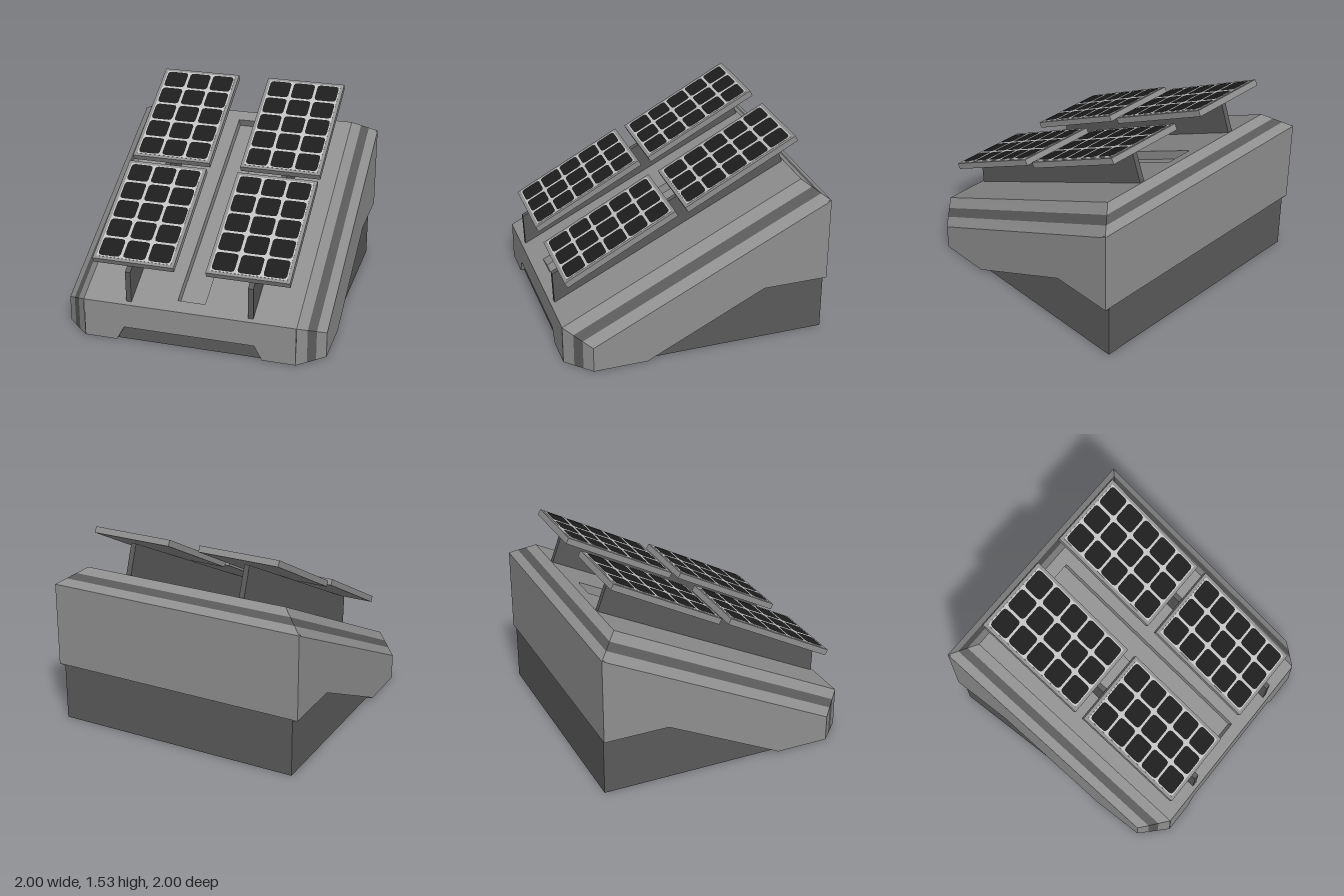
import * as THREE from 'three';

export function createModel() {
  const mat = (name, color) => {
    const m = new THREE.MeshStandardMaterial({ color });
    m.name = name;
    return m;
  };
  const grey = mat('bodyGrey', 0x8f8f8f);
  const dark = mat('darkGrey', 0x5a5a5a);
  const light = mat('gridLight', 0xc0c0c0);
  const black = mat('cellBlack', 0x1d1d1d);

  const model = new THREE.Group();
  model.name = 'solarStation';
  const add = (name, geo, material, parent = model) => {
    const mesh = new THREE.Mesh(geo, material);
    mesh.name = name;
    parent.add(mesh);
    return mesh;
  };
  const shapeOf = (pts) => new THREE.Shape(pts.map(([x, y]) => new THREE.Vector2(x, y)));
  const extrude = (shape, depth) => new THREE.ExtrudeGeometry(shape, { depth, bevelEnabled: false });
  // Extrude a (z, y) profile along x, starting at x0
  const sideExtrude = (pts, x0, width) =>
    extrude(shapeOf(pts.map(([z, y]) => [-z, y])), width).rotateY(Math.PI / 2).translate(x0, 0, 0);
  const box = (w, h, d, x, y, z) => new THREE.BoxGeometry(w, h, d).translate(x, y, z);
  // Strip of quads between two rows of points
  const strip = (a, b) => {
    const pos = [];
    for (let i = 0; i < a.length - 1; i++) {
      for (const p of [a[i], b[i], b[i + 1], a[i], b[i + 1], a[i + 1]]) pos.push(...p);
    }
    const g = new THREE.BufferGeometry();
    g.setAttribute('position', new THREE.Float32BufferAttribute(pos, 3));
    g.computeVertexNormals();
    return g;
  };

  // Base: grey underside, dark recessed walls, and a taller rear block
  const footHalf = [[0.957, -0.99], [0.957, 0.385], [0.995, 0.4], [0.995, 0.815], [0.81, 0.995], [0.56, 0.995], [0.56, 0.972]];
  const foot = shapeOf([...footHalf, ...footHalf.map(([x, z]) => [-x, z]).reverse()].map(([x, z]) => [x, -z]));
  add('baseFootprint', extrude(foot, 0.18).rotateX(-Math.PI / 2), [grey, dark]);
  add('baseRear', box(1.914, 0.4, 1.04, 0, 0.3, -0.47), dark);

  // Side walls with a sloping cutout, and the lip under each cutout
  const side = [[0.82, 0], [0.82, 0.2], [-1, 1.1], [-1, 0.45], [-0.5, 0.45], [0.41, 0]];
  add('leftWall', sideExtrude(side, 0.98, 0.02), grey);
  add('rightWall', sideExtrude(side, -1, 0.02), grey);
  for (const s of [-1, 1]) {
    const edge = [[s, 0.45, -1], [s, 0.45, -0.5], [s, 0, 0.41]];
    const root = [[s * 0.957, 0.441, -1], [s * 0.957, 0.441, -0.5], [s * 0.957, 0, 0.385]];
    add('cutoutLip', s > 0 ? strip(edge, root) : strip(root, edge), grey);
  }

  // Front wall with a notch, and the back wall
  const front = shapeOf([[-0.81, 0], [-0.56, 0], [-0.5, 0.11], [0.5, 0.11], [0.56, 0], [0.81, 0], [0.81, 0.3], [-0.81, 0.3]]);
  add('frontWall', extrude(front, 0.028).translate(0, 0, 0.972), grey);
  add('backWall', box(2, 0.65, 0.02, 0, 0.775, -0.99), grey);

  // Chamfer running around the body, in three bands with a dark middle stripe
  const mirrored = (half) => [...half, ...half.map(([x, y, z]) => [-x, y, z]).reverse()];
  const outer = mirrored([[-1, 0, 0.82], [-1, 0.2, 0.82], [-1, 1.1, -1]]);
  const inner = mirrored([[-0.813, 0, 1], [-0.813, 0.3, 1], [-0.813, 1.214, -0.832]]);
  const ringAt = (t) => outer.map((p, i) => p.map((v, k) => v + (inner[i][k] - v) * t));
  const band = (t0, t1) => strip(ringAt(t0), ringAt(t1));
  add('chamferOuter', band(0, 0.34), grey);
  add('chamferStripe', band(0.34, 0.64), dark);
  add('chamferInner', band(0.64, 1), grey);

  // Sloped deck with a long recessed channel
  const slope = Math.atan2(0.914, 1.832), length = Math.hypot(0.914, 1.832);
  const deck = new THREE.Group();
  deck.name = 'deck';
  deck.position.set(0, 0.3, 1);
  deck.rotation.x = slope - Math.PI / 2;
  model.add(deck);
  const top = shapeOf([[-0.813, 0], [0.813, 0], [0.813, length], [-0.813, length]]);
  top.holes.push(new THREE.Path([[-0.105, 0.101], [-0.105, 1.95], [0.105, 1.95], [0.105, 0.101]]
    .map(([x, y]) => new THREE.Vector2(x, y))));
  add('deckPlate', extrude(top, 0.067).translate(0, 0, -0.067), grey, deck);
  add('channelFloor', box(0.25, 1.89, 0.01, 0, 1.025, -0.072), grey, deck);

  // Fins that carry the panels
  const fin = [[0.98, 0.56], [-0.74, 1.43], [-0.825, 1.2], [0.97, 0.29]];
  for (const s of [-1, 1]) add('supportFin', sideExtrude(fin, s * 0.466 - 0.02, 0.04), dark);

  // One flat solar cell with cut corners
  const w = 0.086, h = 0.081, c = 0.025, k = 0.007;
  const corner = [[w, h - c], [w - k, h - k], [w - c, h]];
  const rightHalf = [...corner.map(([x, y]) => [x, -y]).reverse(), ...corner];
  const cellGeo = new THREE.ShapeGeometry(shapeOf([...rightHalf, ...rightHalf.map(([x, y]) => [-x, y]).reverse()]));

  // Tilted panel: frame, light backing and a 3 x 5 grid of cells
  const makePanel = (x, y, z) => {
    const panel = new THREE.Group();
    panel.name = 'solarPanel';
    add('panelFrame', box(0.625, 0.95, 0.047, 0, 0, -0.0235), grey, panel);
    add('panelBacking', box(0.575, 0.9, 0.002, 0, 0, 0.001), light, panel);
    for (let i = -1; i <= 1; i++) {
      for (let j = -2; j <= 2; j++) {
        add('solarCell', cellGeo, black, panel).position.set(i * 0.193, j * 0.18, 0.004);
      }
    }
    panel.position.set(x, y, z);
    panel.rotation.x = THREE.MathUtils.degToRad(28) - Math.PI / 2;
    model.add(panel);
  };
  for (const x of [-0.436, 0.434]) {
    makePanel(x, 0.85, 0.533);
    makePanel(x, 1.311, -0.382);
  }
  return model;
}
